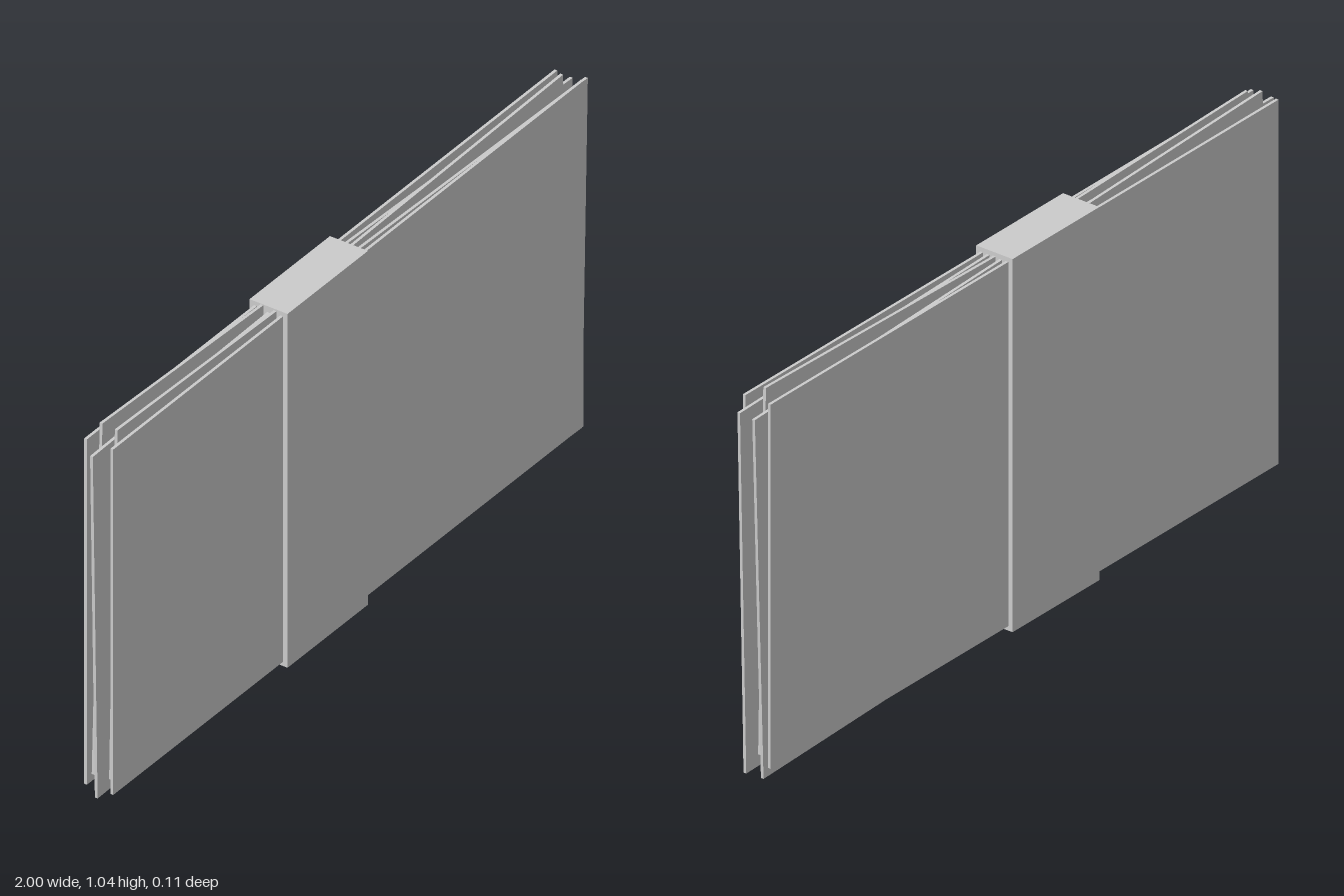
import * as THREE from 'three';

export function createModel() {
  const group = new THREE.Group();
  const material = new THREE.MeshStandardMaterial({ color: 0xcccccc, flatShading: true });

  const addBox = (name, w, h, d, x, y, z, turn = 0) => {
    const mesh = new THREE.Mesh(new THREE.BoxGeometry(w, h, d), material);
    mesh.name = name;
    mesh.position.set(x, y, z);
    mesh.rotation.z = turn;
    group.add(mesh);
  };

  // Loose stack of thin sheets, front to back: centre x, z, turn
  const sheets = [
    [-0.01, 0.038, 0],
    [0.023, 0.019, -0.024],
    [-0.03, 0, 0.02],
    [0.01, -0.019, -0.0337],
    [-0.01, -0.038, 0],
  ];
  sheets.forEach(([x, z, turn], i) => addBox(`sheet${i + 1}`, 1.93, 0.98, 0.008, x, 0.525, z, turn));

  // Band wrapped around the stack
  addBox('band', 0.33, 1.004, 0.11, -0.113, 0.525, 0);

  return group;
}
